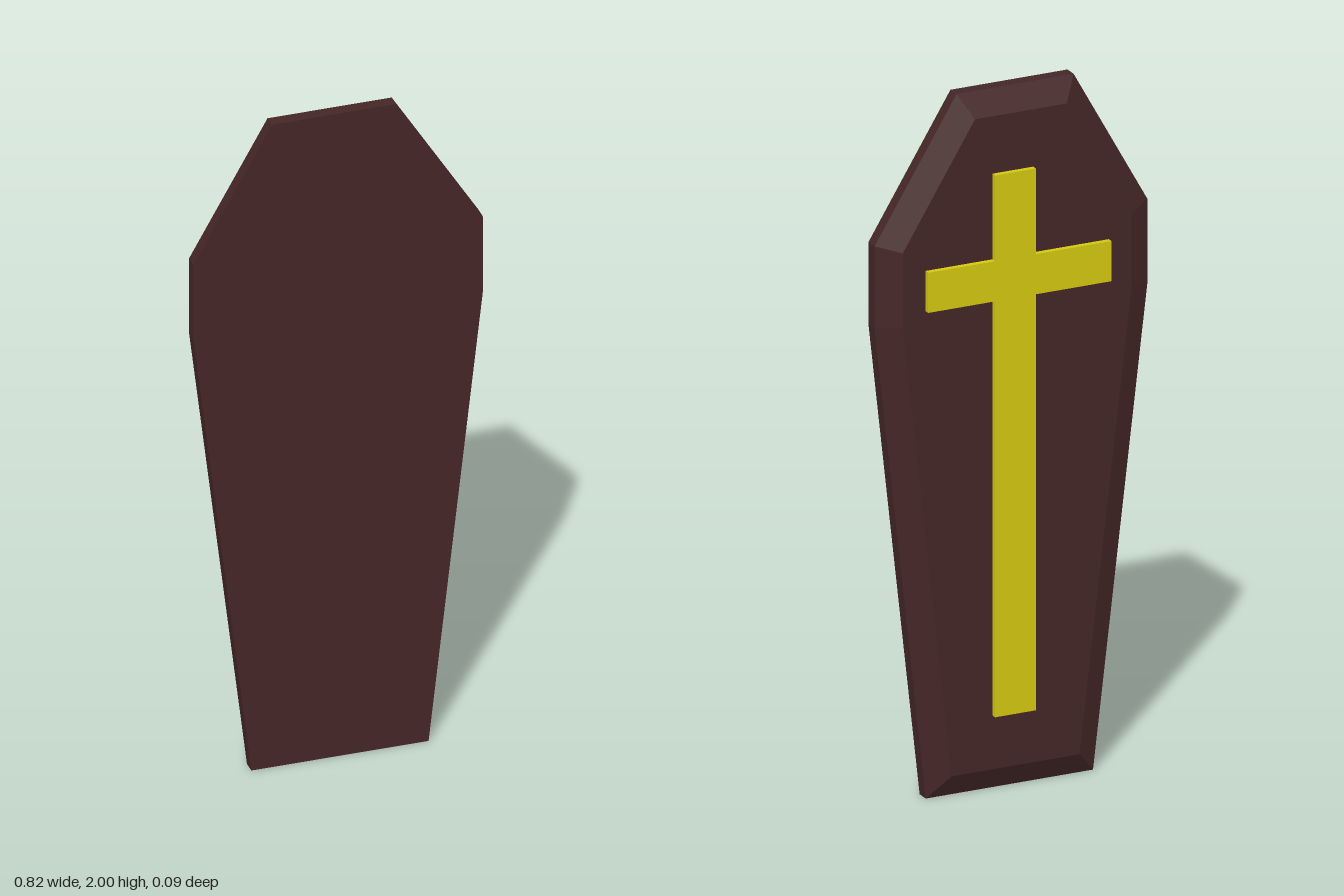
import * as THREE from 'three';

const FRONT = 0.044, RIM = 0.007, BACK = -0.03, CROSS_BACK = -0.046, INSET = 0.066;

// Coffin outline, counter-clockwise as seen from +z
const outline = [
  [-0.245, 0], [0.255, 0], [0.408, 1.37], [0.408, 1.605],
  [0.163, 2], [-0.187, 2], [-0.408, 1.605], [-0.408, 1.37],
].map(([x, y]) => new THREE.Vector2(x, y));

// Move every edge of a convex outline inward by d and intersect the neighbours
function insetOutline(points, d) {
  const n = points.length;
  const lines = points.map((p, i) => {
    const dir = points[(i + 1) % n].clone().sub(p).normalize();
    const normal = new THREE.Vector2(dir.y, -dir.x);
    return { normal, c: normal.dot(p) - d };
  });
  return points.map((p, i) => {
    const a = lines[(i + n - 1) % n], b = lines[i];
    const det = a.normal.cross(b.normal);
    return new THREE.Vector2(
      (a.c * b.normal.y - b.c * a.normal.y) / det,
      (a.normal.x * b.c - b.normal.x * a.c) / det,
    );
  });
}

// Flat-faced solid through convex rings ordered from front to back
function loft(rings) {
  const pos = [];
  const tri = (...vs) => vs.forEach((v) => pos.push(v.x, v.y, v.z));
  const n = rings[0].length, last = rings[rings.length - 1];
  for (let i = 1; i < n - 1; i++) {
    tri(rings[0][0], rings[0][i], rings[0][i + 1]);
    tri(last[0], last[i + 1], last[i]);
  }
  for (let r = 0; r < rings.length - 1; r++) {
    for (let i = 0; i < n; i++) {
      const j = (i + 1) % n, f = rings[r], b = rings[r + 1];
      tri(f[i], b[i], b[j]);
      tri(f[i], b[j], f[j]);
    }
  }
  const geo = new THREE.BufferGeometry();
  geo.setAttribute('position', new THREE.Float32BufferAttribute(pos, 3));
  geo.computeVertexNormals();
  return geo;
}

export function createModel() {
  const wood = new THREE.MeshStandardMaterial({ color: 0x452626 });
  wood.name = 'darkWood';
  const gold = new THREE.MeshStandardMaterial({ color: 0xd4c810 });
  gold.name = 'gold';

  const group = new THREE.Group();
  group.name = 'coffinLid';

  // Lid: straight rim, then a bevel up to the raised panel
  const ring = (pts, z) => pts.map((p) => new THREE.Vector3(p.x, p.y, z));
  const lid = new THREE.Mesh(loft([
    ring(outline, FRONT), ring(outline, RIM), ring(insetOutline(outline, INSET), BACK),
  ]), wood);
  lid.name = 'lid';
  group.add(lid);

  // Raised cross on the panel
  const l = -0.048, r = 0.074, arm = 0.274, low = 1.41, high = 1.525, foot = 0.22, top = 1.77;
  const shape = new THREE.Shape([
    [l, foot], [r, foot], [r, low], [arm, low], [arm, high], [r, high],
    [r, top], [l, top], [l, high], [-arm, high], [-arm, low], [l, low],
  ].map(([x, y]) => new THREE.Vector2(x, y)));
  const crossGeo = new THREE.ExtrudeGeometry(shape, { depth: BACK - CROSS_BACK, bevelEnabled: false });
  const cross = new THREE.Mesh(crossGeo, gold);
  cross.position.z = CROSS_BACK;
  cross.name = 'cross';
  group.add(cross);

  return group;
}
